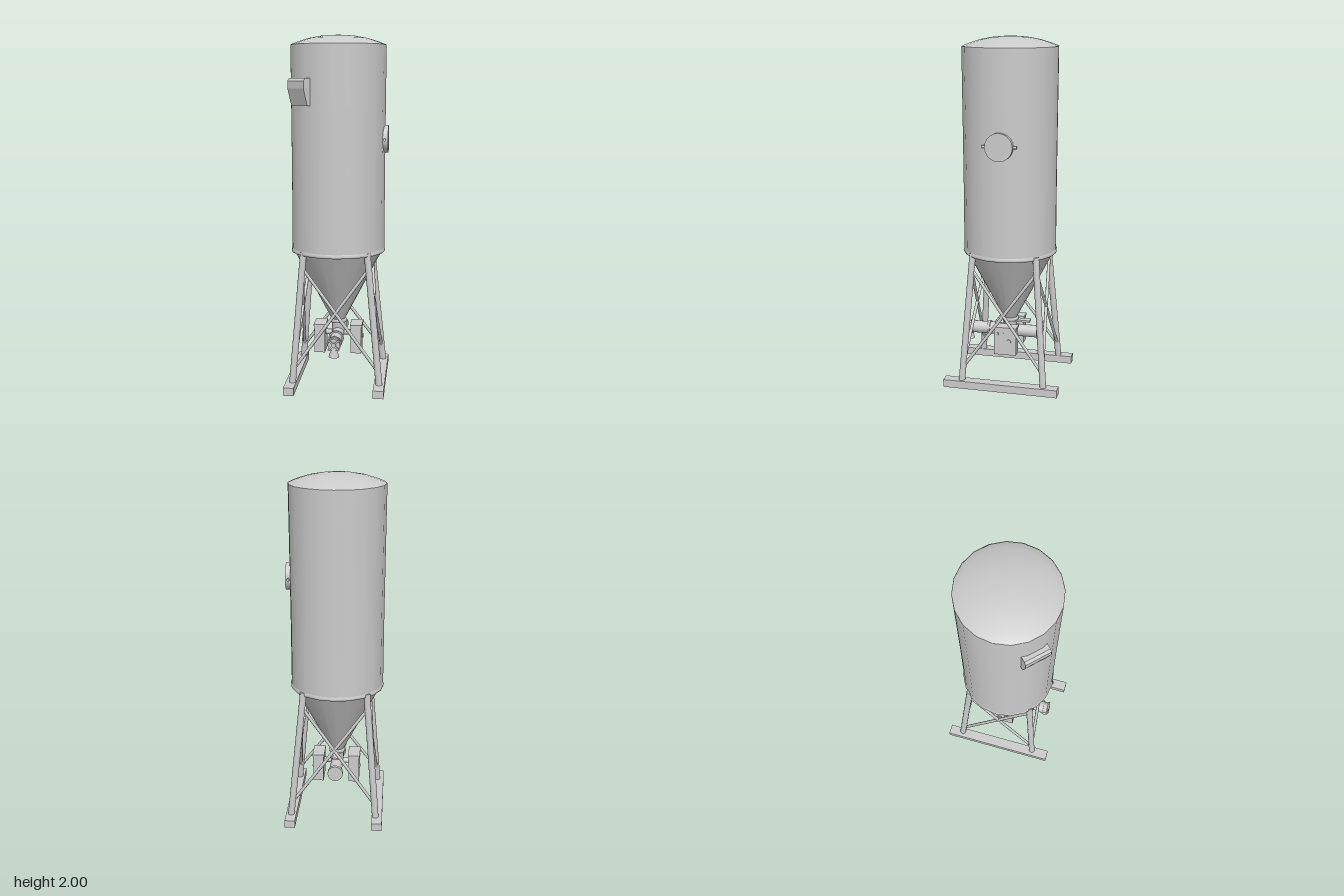
import * as THREE from 'three';

const mat = new THREE.MeshStandardMaterial({ color: 0xcccccc });
const thin = new THREE.MeshStandardMaterial({ color: 0xcccccc, side: THREE.DoubleSide });
const CX = -0.005; // tank axis

export function createModel() {
  const root = new THREE.Group();
  root.name = 'silo';

  function add(name, geometry, x = 0, y = 0, z = 0, material = mat) {
    const mesh = new THREE.Mesh(geometry, material);
    mesh.name = name;
    mesh.position.set(x, y, z);
    root.add(mesh);
    return mesh;
  }
  const box = (name, w, h, d, x, y, z) => add(name, new THREE.BoxGeometry(w, h, d), x, y, z);
  const lathe = (name, pts, sides = 20) =>
    add(name, new THREE.LatheGeometry(pts.map(p => new THREE.Vector2(...p)), sides), CX, 0, 0, thin);

  // Round bar between two points
  function bar(name, a, b, r, sides = 10) {
    const mesh = add(name, new THREE.CylinderGeometry(r, r, a.distanceTo(b), sides));
    mesh.position.lerpVectors(a, b, 0.5);
    mesh.quaternion.setFromUnitVectors(new THREE.Vector3(0, 1, 0), b.clone().sub(a).normalize());
    return mesh;
  }
  // Cylinder along z from z0 to z1
  const tubeZ = (name, r, z0, z1, x, y, sides = 16) =>
    bar(name, new THREE.Vector3(x, y, z0), new THREE.Vector3(x, y, z1), r, sides);

  // Tank shell, domed roof and lower rim
  lathe('tankWall', [[0.268, 0.78], [0.268, 1.2], [0.27, 1.6], [0.272, 1.945]]);
  lathe('roof', [[0.272, 1.94], [0.268, 1.947], [0.23, 1.962], [0.17, 1.981], [0.1, 1.994], [0.04, 1.999], [0, 2]]);
  lathe('lowerRim', [[0.252, 0.77], [0.27, 0.772], [0.273, 0.782], [0.268, 0.794]]);

  // Hopper cone with its outlet neck
  lathe('hopper', [[0.255, 0.775], [0.04, 0.365]]);
  lathe('outletNeck', [[0, 0.365], [0.048, 0.365], [0.048, 0.345], [0.038, 0.345], [0.038, 0.28]], 16);

  // Skids
  for (const x of [-0.254, 0.249]) box('skid', 0.06, 0.045, 0.67, x, 0.0225, 0);

  // Splayed legs
  const legs = [[-1, 1], [1, 1], [1, -1], [-1, -1]].map(([sx, sz]) => ({
    top: new THREE.Vector3(CX + sx * 0.18, 0.79, sz * 0.183 - 0.005),
    foot: new THREE.Vector3(0.002 + sx * 0.247, 0.04, sz * 0.24 - 0.01),
  }));
  const onLeg = (leg, y) => leg.foot.clone().lerp(leg.top, (y - 0.04) / 0.75);
  legs.forEach((leg, i) => {
    bar('leg', leg.foot, leg.top, 0.019, 12);
    // Crossed braces to the next leg
    const next = legs[(i + 1) % 4];
    bar('brace', onLeg(leg, 0.12), onLeg(next, 0.7), 0.0095, 8);
    bar('brace', onLeg(next, 0.12), onLeg(leg, 0.7), 0.0095, 8);
  });

  // Inspection hatch on the left side
  const hatch = add('hatch', new THREE.CylinderGeometry(0.078, 0.078, 0.04, 20), 0.262, 1.42, 0);
  hatch.rotation.z = -Math.PI / 2;
  tubeZ('hatchBar', 0.008, -0.097, 0.097, 0.263, 1.42, 10);

  // Sloped vent hood on the front right of the wall
  const hoodShape = new THREE.Shape([[0.235, 1.61], [0.277, 1.61], [0.303, 1.705], [0.303, 1.745],
    [0.29, 1.76], [0.235, 1.76]].map(p => new THREE.Vector2(...p)));
  const hoodGeo = new THREE.ExtrudeGeometry(hoodShape, { depth: 0.146, bevelEnabled: false });
  hoodGeo.translate(0, 0, -0.073);
  const hood = add('ventHood', hoodGeo, CX, 0, 0);
  hood.rotation.y = -Math.PI * 0.75;

  // Discharge screw beneath the hopper
  const SY = 0.28;
  tubeZ('screwTube', 0.036, -0.17, 0.23, CX, SY);
  tubeZ('rearFlange', 0.045, -0.187, -0.165, CX, SY);
  tubeZ('middleFlange', 0.044, 0.12, 0.135, CX, SY);
  tubeZ('frontFlange', 0.043, 0.225, 0.24, CX, SY, 8);
  tubeZ('frontHousing', 0.036, 0.23, 0.265, CX, SY, 8);
  tubeZ('endCap', 0.014, 0.26, 0.278, CX, SY, 12);
  // Crossed ribs on the end housing
  for (const s of [-1, 1]) {
    const rib = box('endRib', 0.085, 0.009, 0.012, CX, SY, 0.268);
    rib.rotation.z = s * Math.PI / 4;
  }
  add('spout', new THREE.CylinderGeometry(0.016, 0.03, 0.05, 8), CX, 0.232, 0.25);
  box('topPlate', 0.04, 0.012, 0.14, CX, 0.343, -0.05);

  // Cabinets on both sides with overhanging lids
  for (const s of [-1, 1]) {
    const x = s * 0.106 - 0.002;
    box('cabinet', 0.062, 0.16, 0.13, x, 0.252, 0);
    box('cabinetLid', 0.07, 0.012, 0.136, x, 0.335, 0);
    bar('cabinetKnob', new THREE.Vector3(x + s * 0.028, 0.255, -0.022),
      new THREE.Vector3(x + s * 0.037, 0.255, -0.022), 0.014, 14);
    for (let i = 0; i < 3; i++) box('cabinetButton', 0.005, 0.014, 0.008, x + s * 0.032, 0.3, 0.012 + i * 0.016);
    bar('cabinetBracket', new THREE.Vector3(CX, SY, 0), new THREE.Vector3(x, SY, 0), 0.016);
  }
  return root;
}
